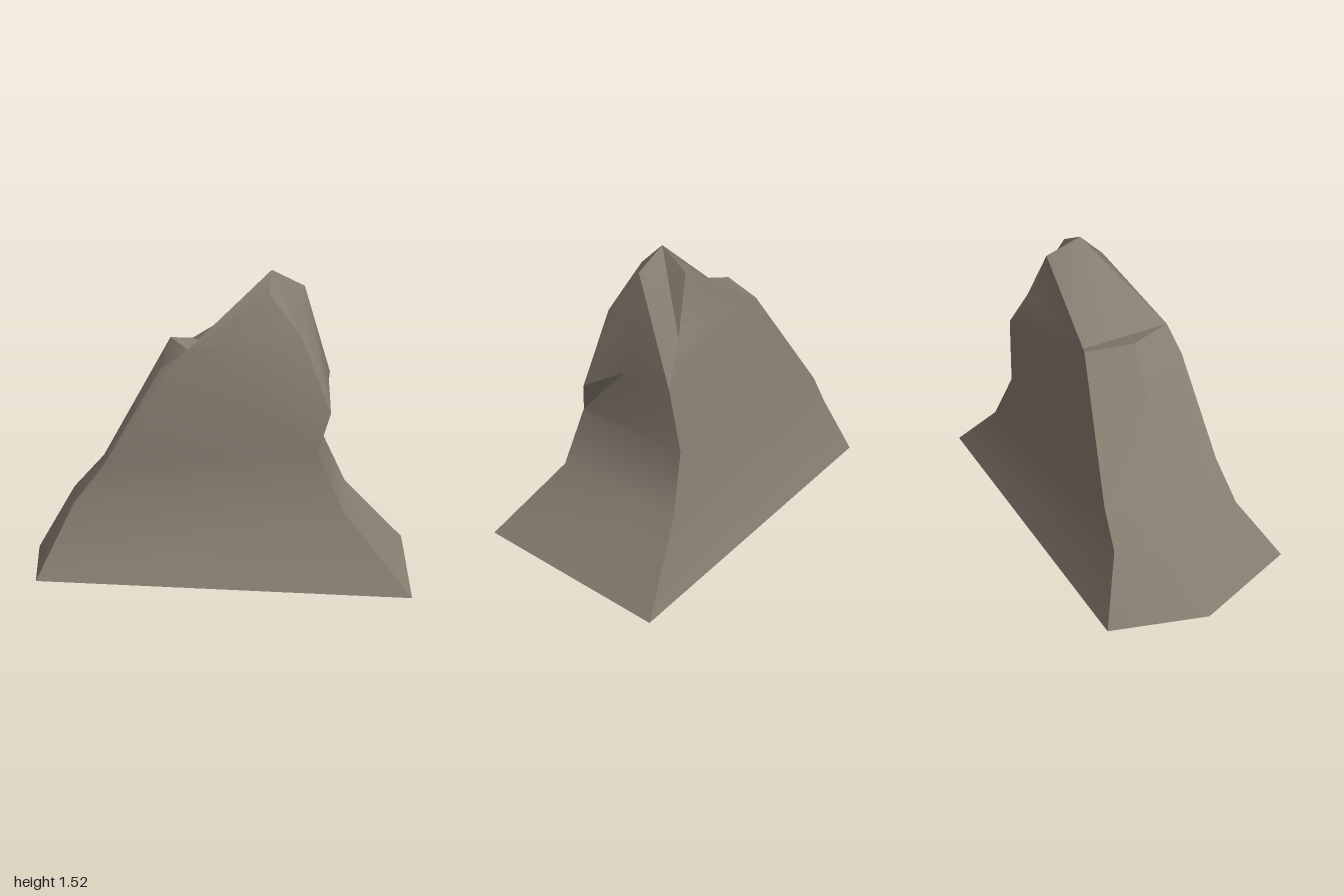
import * as THREE from 'three';
import { toCreasedNormals } from 'three/addons/utils/BufferGeometryUtils.js';

// Corner points of the rock
const v = (x, y, z) => new THREE.Vector3(x, y, z);

// Foot, shoulder and waist outlines: front left, front right, back right, back left, left
const rings = [
  [v(-0.83, 0, 0.53), v(1, 0, 0.53), v(1, 0, -0.53), v(-0.83, 0, -0.53), v(-1, 0, -0.05)],
  [v(-0.69, 0.35, 0.31), v(0.67, 0.35, 0.31), v(0.67, 0.35, -0.41), v(-0.69, 0.35, -0.41), v(-0.79, 0.35, -0.05)],
  [v(-0.54, 0.54, 0.28), v(0.54, 0.63, 0.28), v(0.54, 0.63, -0.35), v(-0.58, 0.54, -0.4), v(-0.62, 0.53, -0.04)],
];

// Lower peak and the saddle beside it
const lowPeak = v(-0.25, 1.17, -0.04);
const lowFront = v(-0.25, 1.03, 0.24);
const lowBack = v(-0.17, 1.15, -0.27);
const saddleFront = v(-0.11, 1.13, 0.24);
const saddleMid = v(-0.11, 1.13, 0.02);
const saddleBack = v(-0.11, 1.13, -0.25);

// Summit
const peak = v(0.28, 1.52, -0.04);
const peakRight = v(0.45, 1.44, -0.04);
const peakFront = v(0.28, 1.4, 0.09);
const peakBack = v(0.32, 1.44, -0.21);
const edgeFront = v(0.45, 1.19, 0.16);
const edgeBack = v(0.45, 1.17, -0.27);

// Lip of the overhang
const lipFront = v(0.6, 0.82, 0.21);
const lipMid = v(0.58, 0.97, -0.04);
const lipBack = v(0.58, 0.97, -0.32);

function rockGeometry() {
  const points = [];
  // Each face is a fan from its first corner
  const face = (first, ...rest) => {
    for (let i = 0; i < rest.length - 1; i++) points.push(first, rest[i], rest[i + 1]);
  };

  // Sloping skirt between the outlines
  for (let r = 0; r < 2; r++) {
    for (let i = 0; i < 5; i++) {
      const j = (i + 1) % 5;
      face(rings[r][i], rings[r][j], rings[r + 1][j], rings[r + 1][i]);
    }
  }

  const [frontLeft, frontRight, backRight, backLeft, left] = rings[2];
  // Front
  face(saddleFront, lowFront, frontLeft, frontRight);
  face(saddleFront, frontRight, lipFront, edgeFront, peakFront);
  // Left slope
  face(left, frontLeft, lowFront, lowPeak);
  face(left, lowPeak, lowBack, backLeft);
  // Back
  face(lowBack, backRight, backLeft);
  face(lowBack, saddleBack, peakBack, edgeBack, lipBack, backRight);
  // Saddle and summit
  face(lowPeak, lowFront, saddleFront, saddleMid, saddleBack, lowBack);
  face(peak, peakBack, saddleBack, saddleMid, saddleFront, peakFront);
  face(peak, peakFront, edgeFront, peakRight);
  face(peak, peakRight, edgeBack, peakBack);
  // Right cliff and the overhang below it
  face(peakRight, edgeFront, lipFront, lipMid, lipBack, edgeBack);
  face(lipMid, lipFront, frontRight, backRight, lipBack);

  const geometry = new THREE.BufferGeometry().setFromPoints(points);
  return toCreasedNormals(geometry, THREE.MathUtils.degToRad(35));
}

export function createModel() {
  const group = new THREE.Group();
  group.name = 'rock';

  // The shell is open underneath
  const stone = new THREE.MeshStandardMaterial({ color: 0x877c70, side: THREE.DoubleSide });
  stone.name = 'stone';

  const shell = new THREE.Mesh(rockGeometry(), stone);
  shell.name = 'rockShell';
  group.add(shell);
  return group;
}
